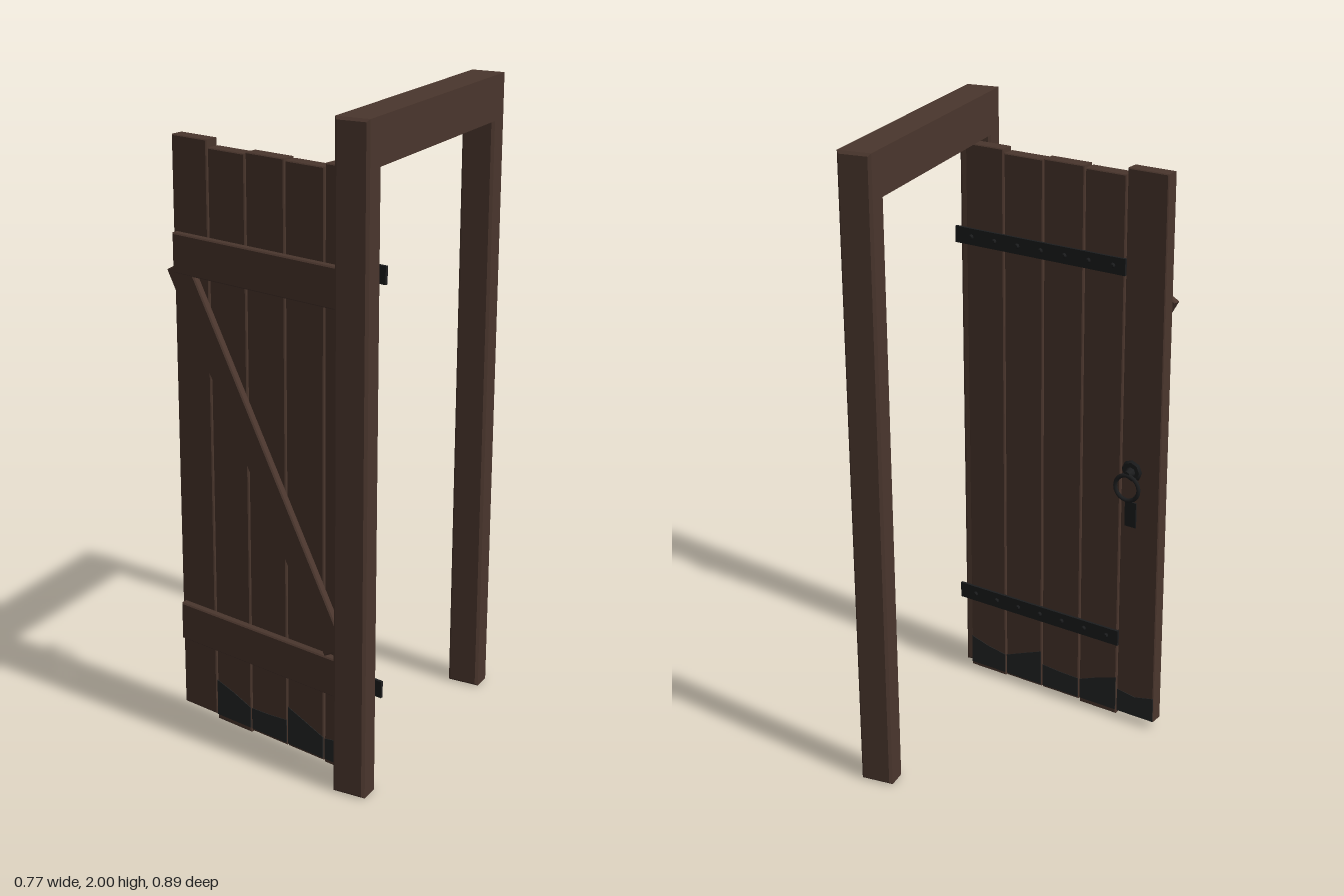
import * as THREE from 'three';

const wood = new THREE.MeshStandardMaterial({ color: 0x4a362d });
wood.name = 'darkWood';
const iron = new THREE.MeshStandardMaterial({ color: 0x1c1d1e });
iron.name = 'blackIron';
const rot = new THREE.MeshStandardMaterial({ color: 0x252626 });
rot.name = 'dampStain';

function add(parent, name, geometry, material, x = 0, y = 0, z = 0) {
  const mesh = new THREE.Mesh(geometry, material);
  mesh.name = name;
  mesh.position.set(x, y, z);
  parent.add(mesh);
  return mesh;
}

// Polygon in x/y extruded from z0 to z1
function slab(points, z0, z1) {
  const shape = new THREE.Shape(points.map(([x, y]) => new THREE.Vector2(x, y)));
  return new THREE.ExtrudeGeometry(shape, { depth: z1 - z0, bevelEnabled: false }).translate(0, 0, z0);
}

// Centred box with chamfered edges
function chamferBox(w, h, d, c) {
  const a = w / 2 - c, b = h / 2 - c;
  const shape = new THREE.Shape([[-a, -b], [a, -b], [a, b], [-a, b]].map(([x, y]) => new THREE.Vector2(x, y)));
  return new THREE.ExtrudeGeometry(shape, {
    depth: d - 2 * c, bevelThickness: c, bevelSize: c, bevelSegments: 1,
  }).translate(0, 0, c - d / 2);
}

export function createModel() {
  const model = new THREE.Group();
  model.name = 'openDoorWithFrame';

  // Frame: two posts and a lintel
  const frame = new THREE.Group();
  frame.name = 'frame';
  model.add(frame);
  for (const s of [1, -1]) {
    add(frame, s > 0 ? 'hingePost' : 'latchPost', chamferBox(0.104, 1.95, 0.076, 0.008), wood, 0.333, 0.975, s * 0.405);
  }
  add(frame, 'lintel', chamferBox(0.104, 0.136, 0.886, 0.008), wood, 0.333, 1.932, 0);

  // Door: x runs along the leaf from its free edge, z = 0 is the outer face
  const door = new THREE.Group();
  door.name = 'door';
  door.position.set(-0.363, 0, 0.17);
  door.rotation.y = -0.2;
  model.add(door);
  const T = 0.047;

  // Planks: left, right, bottom, top, and stain heights at left, middle and right
  const planks = [
    [0, 0.137, 0.028, 1.856, 0.115, 0.1, 0.11],
    [0.142, 0.282, 0.014, 1.834, 0.15, 0.128, 0.1],
    [0.287, 0.429, 0.022, 1.84, 0.1, 0.102, 0.108],
    [0.434, 0.574, 0.022, 1.836, 0.155, 0.128, 0.1],
    [0.579, 0.717, 0.018, 1.848, 0.098, 0.11, 0.13],
  ];
  planks.forEach(([l, r, b, t, h0, h1, h2], i) => {
    add(door, 'plank', chamferBox(r - l, t - b, T, 0.003), wood, (l + r) / 2, (b + t) / 2, T / 2);
    // Thin stain on the faces; the free-edge plank is stained outside only
    const x0 = l + 0.001, x1 = r - 0.001;
    const outline = [[x0, 0.03], [x1, 0.03], [x1, h2], [(l + r) / 2, h1], [x0, h0]];
    add(door, 'outerStain', slab(outline, -0.002, 0.001), rot);
    if (i > 0) add(door, 'innerStain', slab(outline, T - 0.001, T + 0.002), rot);
  });

  // Battens and diagonal brace on the inner face
  for (const y of [0.326, 1.511]) {
    add(door, 'batten', chamferBox(0.69, 0.122, 0.027, 0.004), wood, 0.362, y, T + 0.0125);
  }
  const from = new THREE.Vector2(0.03, 1.478), to = new THREE.Vector2(0.635, 0.408);
  const brace = add(door, 'brace', chamferBox(from.distanceTo(to), 0.092, 0.025, 0.004), wood,
    (from.x + to.x) / 2, (from.y + to.y) / 2, T + 0.0115);
  brace.rotation.z = Math.atan2(to.y - from.y, to.x - from.x);

  // Riveted hinge straps on the outer face
  for (const y of [0.3, 1.554]) {
    add(door, 'hingeStrap', new THREE.BoxGeometry(0.62, 0.053, 0.009), iron, 0.445, y, -0.0035);
    for (let i = 0; i < 7; i++) {
      const rivet = add(door, 'rivet', new THREE.CylinderGeometry(0.009, 0.005, 0.007, 8), iron, 0.178 + i * 0.086, y, -0.011);
      rivet.rotation.x = Math.PI / 2;
    }
  }

  // Ring pull with its boss and the keyhole plate
  const handle = new THREE.Group();
  handle.name = 'ringHandle';
  handle.position.set(0.1, 0, 0);
  door.add(handle);
  const rose = add(handle, 'rose', new THREE.CylinderGeometry(0.037, 0.03, 0.009, 8), iron, 0, 0.9, -0.0035);
  rose.rotation.x = Math.PI / 2;
  const boss = add(handle, 'boss', new THREE.CylinderGeometry(0.018, 0.01, 0.028, 8), iron, 0, 0.898, -0.018);
  boss.rotation.x = Math.PI / 2;
  add(handle, 'ring', new THREE.TorusGeometry(0.042, 0.007, 6, 20), iron, 0, 0.853, -0.029);
  add(handle, 'keyholePlate', new THREE.BoxGeometry(0.04, 0.085, 0.006), iron, 0, 0.752, -0.002);

  return model;
}
